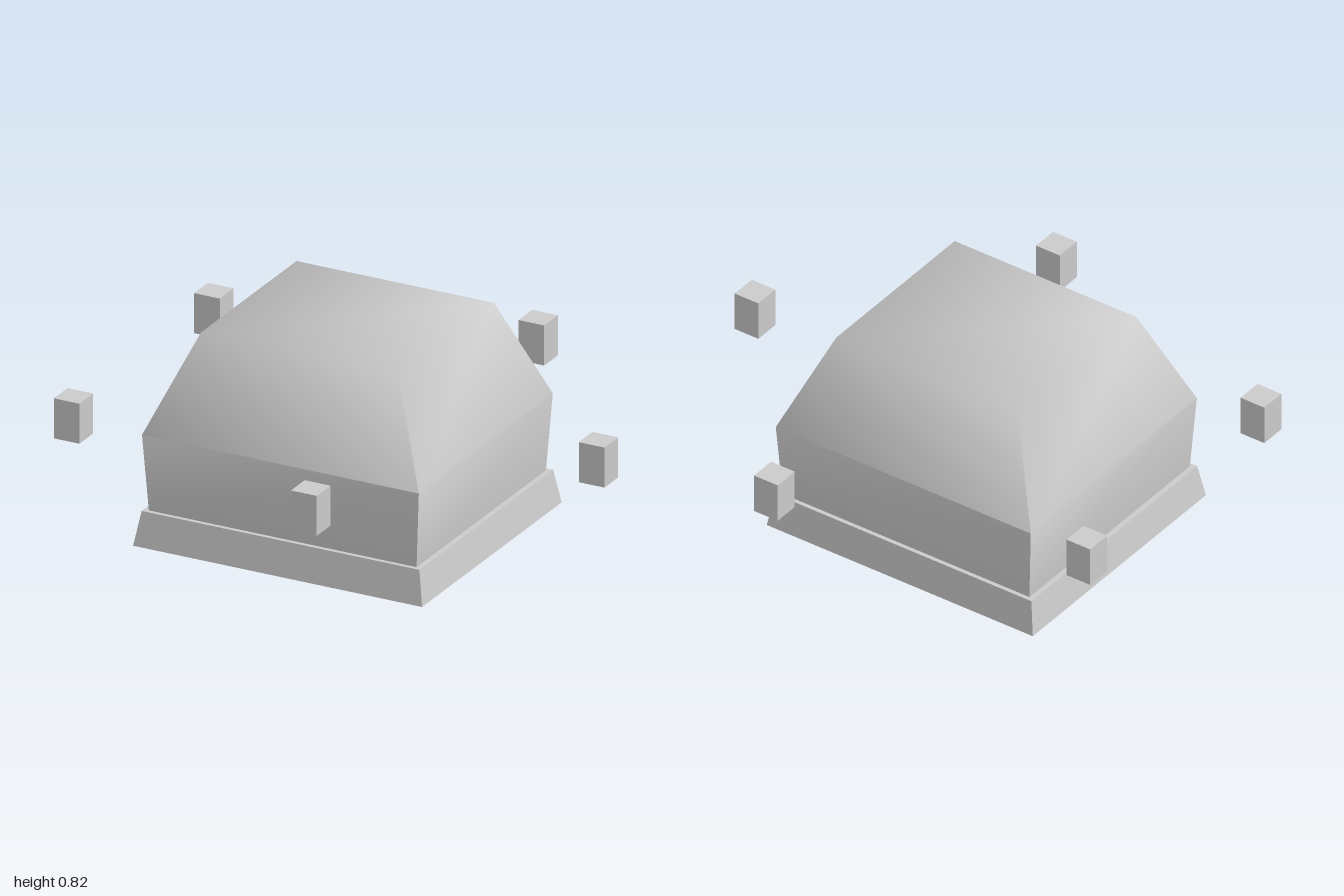
import * as THREE from 'three';
import { toCreasedNormals } from 'three/addons/utils/BufferGeometryUtils.js';

const CENTER_X = -0.1;

// Closed solid lofted through rectangular sections [y, halfWidth, halfDepth], bottom to top
function loft(sections, crease) {
  const corners = [[-1, 1], [1, 1], [1, -1], [-1, -1]];
  const positions = [];
  const index = [];
  for (const [y, w, d] of sections) {
    for (const [sx, sz] of corners) positions.push(sx * w, y, sz * d);
  }
  for (let s = 0; s < sections.length - 1; s++) {
    for (let i = 0; i < 4; i++) {
      const a = s * 4 + i, b = s * 4 + (i + 1) % 4;
      index.push(a, b, b + 4, a, b + 4, a + 4);
    }
  }
  const t = (sections.length - 1) * 4;
  index.push(0, 2, 1, 0, 3, 2, t, t + 1, t + 2, t, t + 2, t + 3);
  const geometry = new THREE.BufferGeometry();
  geometry.setAttribute('position', new THREE.Float32BufferAttribute(positions, 3));
  geometry.setIndex(index);
  return toCreasedNormals(geometry, crease);
}

export function createModel() {
  const model = new THREE.Group();
  const material = new THREE.MeshStandardMaterial({ color: 0xcccccc });

  const add = (name, geometry, x, y, z) => {
    const mesh = new THREE.Mesh(geometry, material);
    mesh.name = name;
    mesh.position.set(x, y, z);
    model.add(mesh);
  };

  // Sloping plinth
  add('base', loft([[0, 0.6, 0.545], [0.135, 0.577, 0.522]], 0.5), CENTER_X, 0, 0);

  // Main block: flares slightly, then tapers to a flat roof with softened shading
  add('body', loft([[0.135, 0.556, 0.505], [0.44, 0.575, 0.523], [0.825, 0.41, 0.373]], 1.45), CENTER_X, 0, 0);

  // Small blocks floating around the body
  const block = new THREE.BoxGeometry(0.107, 0.16, 0.107);
  add('leftBlock', block, 0.943, 0.47, 0);
  for (const [side, sz] of [['front', 1], ['back', -1]]) {
    add(`${side}Block`, block, 0.22, 0.47, sz * 0.888);
    add(`${side}RightBlock`, block, -0.946, 0.47, sz * 0.548);
  }
  return model;
}
